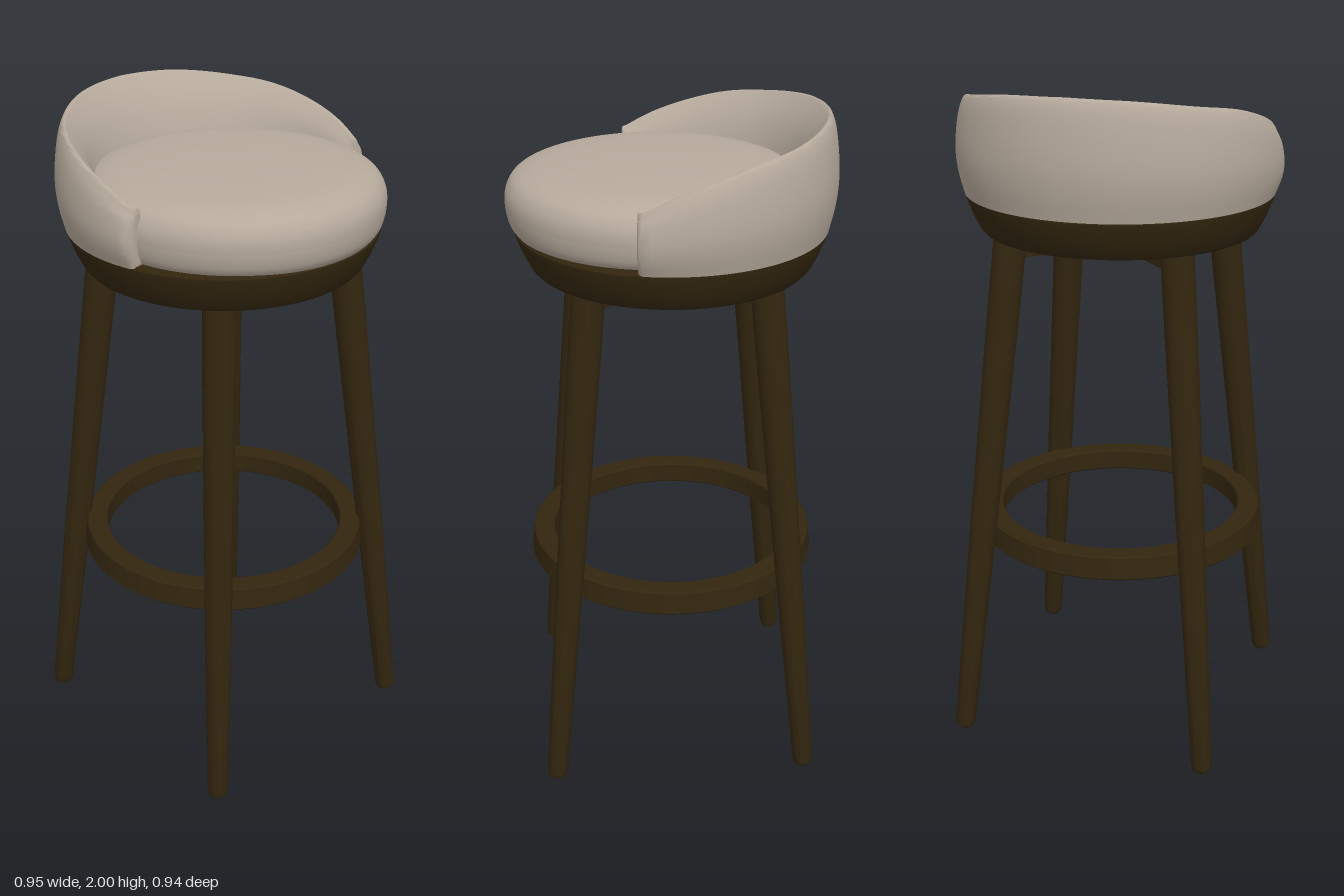
import * as THREE from 'three';
import { toCreasedNormals } from 'three/addons/utils/BufferGeometryUtils.js';

const fabric = new THREE.MeshStandardMaterial({ color: 0xb6aa9c });
fabric.name = 'beigeFabric';
const wood = new THREE.MeshStandardMaterial({ color: 0x33260f });
wood.name = 'darkWood';

function part(name, geometry, material) {
  const mesh = new THREE.Mesh(geometry, material);
  mesh.name = name;
  return mesh;
}

// Turned part from [radius, height] pairs, bottom to top
function turned(points, segments, crease = 0.6) {
  const g = new THREE.LatheGeometry(points.map(([r, y]) => new THREE.Vector2(r, y)), segments);
  return toCreasedNormals(g, crease);
}

// Smooth profile through [radius, height] pairs
function smoothProfile(points, n) {
  const curve = new THREE.CatmullRomCurve3(points.map(([r, y]) => new THREE.Vector3(r, y, 0)));
  return curve.getPoints(n).map((p) => [Math.max(p.x, 0), p.y]);
}

// Padded back: a cross-section swept round the seat, lower towards its ends
function backrestGeometry() {
  const END = 1.81, STEPS = 72, N = 40;
  const topAt = new THREE.SplineCurve([[0, 2.0], [0.4, 1.993], [0.8, 1.972], [1.15, 1.948],
    [1.55, 1.895], [1.81, 1.845]].map(([a, y]) => new THREE.Vector2(a, y)));
  const heightAt = (a) => {
    let lo = 0, hi = 1;
    for (let i = 0; i < 24; i++) {
      const mid = (lo + hi) / 2;
      if (topAt.getPoint(mid).x < a) lo = mid; else hi = mid;
    }
    return topAt.getPoint(lo).y;
  };
  const section = (a) => {
    const t = Math.abs(a) / END;
    const top = heightAt(Math.abs(a));
    const inner = 0.33 + 0.065 * t * t; // thinner towards the ends
    const h = top - 1.675;
    const pts = [[0.452, 1.675], [0.467, 1.675 + h * 0.22], [0.473, 1.675 + h * 0.45],
      [0.464, 1.675 + h * 0.78], [0.452, top - 0.018], [0.44, top], [0.426, top - 0.012],
      [0.6 * 0.415 + 0.4 * inner, 1.675 + h * 0.78], [0.2 * 0.415 + 0.8 * inner, 1.675 + h * 0.55],
      [inner, 1.675 + h * 0.35], [inner, 1.675]];
    return smoothProfile(pts, N - 1);
  };
  // Sweep stations; the last few shrink to round the ends
  const stations = [];
  for (let i = 0; i <= STEPS; i++) stations.push([-END + (2 * END * i) / STEPS, 1]);
  const cap = [[0.016, 0.93], [0.03, 0.78], [0.038, 0.5], [0.04, 0]];
  for (const [d, s] of cap) {
    stations.push([END + d, s]);
    stations.unshift([-END - d, s]);
  }
  const pos = [], index = [];
  for (const [a, s] of stations) {
    const pts = section(Math.max(-END, Math.min(END, a)));
    const mid = (pts[0][0] + pts[N - 1][0]) / 2;
    for (const [r0, y0] of pts) {
      const r = mid + (r0 - mid) * s;
      const y = 1.76 + (y0 - 1.76) * (0.88 + 0.12 * s);
      pos.push(r * Math.sin(a), y, -r * Math.cos(a));
    }
  }
  for (let i = 0; i < stations.length - 1; i++) {
    for (let j = 0; j < N; j++) {
      const k = (j + 1) % N;
      const a = i * N + j, b = i * N + k, c = a + N, d = b + N;
      index.push(a, b, c, b, d, c);
    }
  }
  const g = new THREE.BufferGeometry();
  g.setAttribute('position', new THREE.Float32BufferAttribute(pos, 3));
  g.setIndex(index);
  // Make sure the faces point outwards
  const p = g.attributes.position, v = [0, 1, 2].map(() => new THREE.Vector3());
  let volume = 0;
  for (let i = 0; i < index.length; i += 3) {
    v.forEach((q, n) => q.fromBufferAttribute(p, index[i + n]));
    volume += v[0].dot(v[1].clone().cross(v[2]));
  }
  if (volume < 0) g.setIndex(index.reverse());
  return toCreasedNormals(g, 0.9);
}

export function createModel() {
  const stool = new THREE.Group();
  stool.name = 'barStool';

  // Upholstery
  const cushion = part('seatCushion', turned([[0, 1.67], ...smoothProfile([[0.4, 1.67], [0.418, 1.695],
    [0.428, 1.74], [0.425, 1.785], [0.404, 1.82], [0.355, 1.842], [0.26, 1.854],
    [0.12, 1.86], [0, 1.861]], 40)], 96), fabric);
  cushion.position.z = 0.043;
  stool.add(cushion, part('backrest', backrestGeometry(), fabric));

  // Wooden seat pan with sloping sides
  stool.add(part('seatPan', turned([[0, 1.56], [0.385, 1.56], [0.4, 1.564], [0.41, 1.575], [0.43, 1.615],
    [0.447, 1.66], [0.449, 1.672], [0.444, 1.68], [0, 1.68]], 80), wood));

  // Crossed braces below the pan
  for (const side of [1, -1]) {
    const brace = part('seatBrace', new THREE.BoxGeometry(0.66, 0.06, 0.05), wood);
    brace.position.y = 1.538;
    brace.rotation.y = (side * Math.PI) / 4;
    stool.add(brace);
  }

  // Splayed, tapered legs with rounded feet
  const up = new THREE.Vector3(0, 1, 0);
  for (const sx of [1, -1]) {
    for (const sz of [1, -1]) {
      const foot = new THREE.Vector3(sx * 0.388, 0.002, sz * 0.388);
      const head = new THREE.Vector3(sx * 0.243, 1.61, sz * 0.243);
      const dir = head.clone().sub(foot);
      const leg = part('leg', turned([[0, 0], [0.018, 0.002], [0.027, 0.01], [0.031, 0.026],
        [0.04, 0.65], [0.047, 1.4], [0.047, dir.length()], [0, dir.length()]], 28), wood);
      leg.position.copy(foot);
      leg.quaternion.setFromUnitVectors(up, dir.normalize());
      stool.add(leg);
    }
  }

  // Footrest ring
  stool.add(part('footRing', turned([[0.372, 0.622], [0.434, 0.618], [0.439, 0.623], [0.432, 0.686],
    [0.427, 0.69], [0.372, 0.69], [0.368, 0.685], [0.368, 0.626], [0.372, 0.622]], 80), wood));

  return stool;
}
